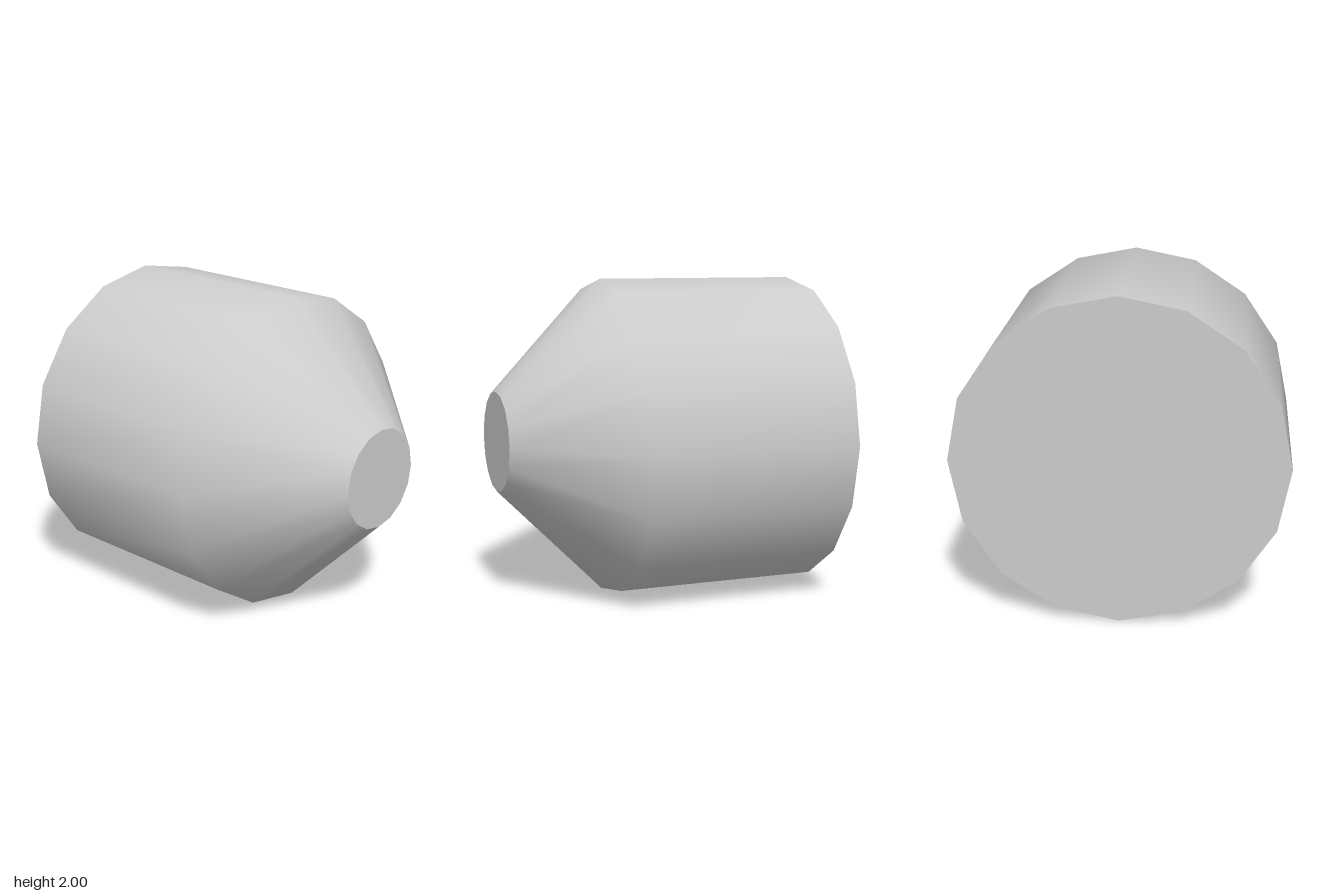
import * as THREE from 'three';

const SIDES = 16;
const TIP_RADIUS = 0.315;
const SHOULDER_Z = 0.315;

export function createModel() {
  const group = new THREE.Group();
  group.name = 'taperedCylinder';
  const grey = new THREE.MeshStandardMaterial({ color: 0xcccccc });
  grey.name = 'light grey';

  const add = (name, geometry) => {
    const mesh = new THREE.Mesh(geometry, grey);
    mesh.name = name;
    mesh.position.y = 1;
    group.add(mesh);
  };

  // Smooth barrel and tapered nose, turned so the axis runs along z
  const profile = [[1, -1], [1, SHOULDER_Z], [TIP_RADIUS, 1]]
    .map(([r, z]) => new THREE.Vector2(r, z));
  add('body', new THREE.LatheGeometry(profile, SIDES).rotateX(Math.PI / 2));

  // Flat end faces
  add('frontCap', new THREE.CircleGeometry(TIP_RADIUS, SIDES).translate(0, 0, 1));
  add('backCap', new THREE.CircleGeometry(1, SIDES).rotateY(Math.PI).translate(0, 0, -1));

  return group;
}
